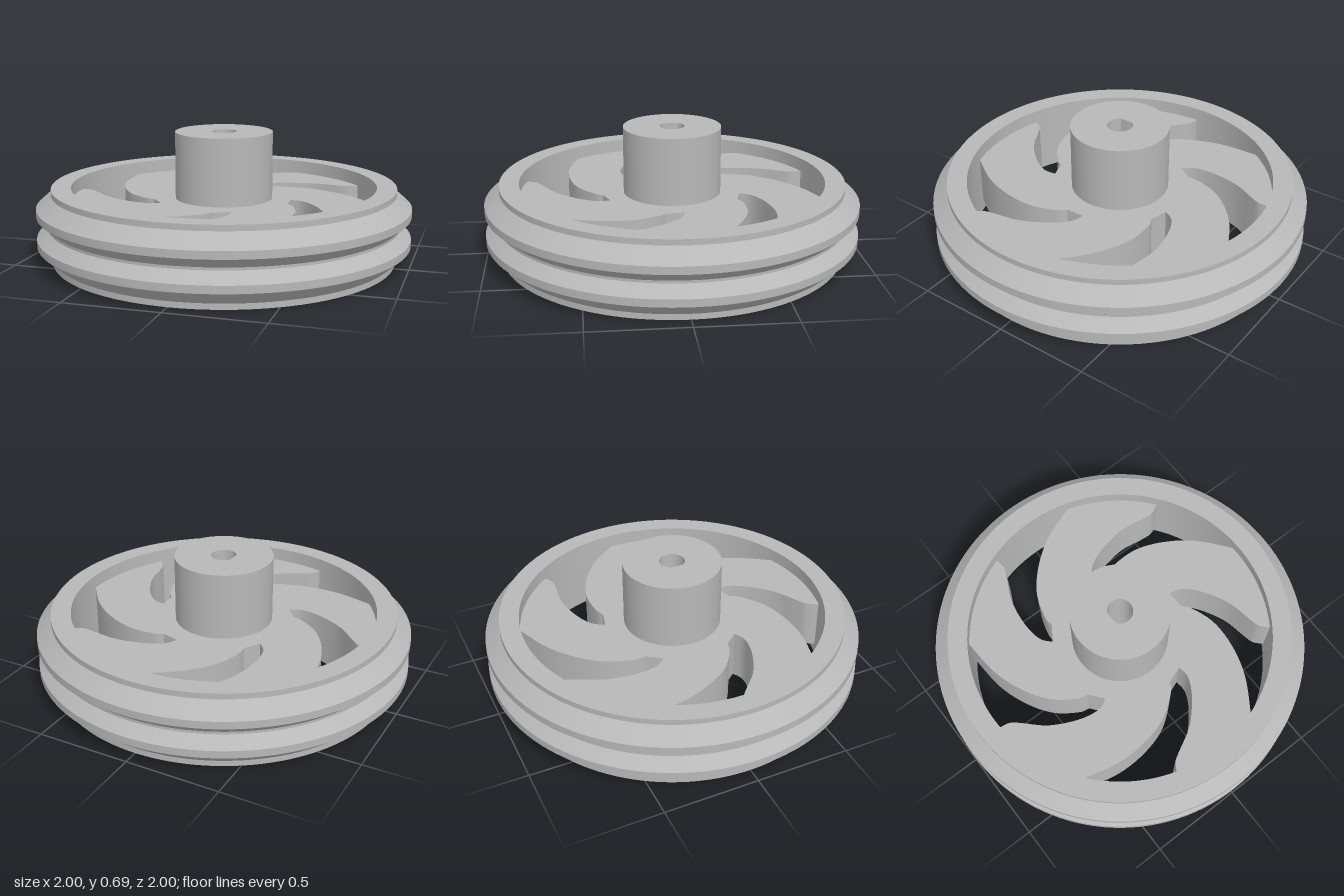
import * as THREE from 'three';
import { toCreasedNormals } from 'three/addons/utils/BufferGeometryUtils.js';

const SPOKES = 5;
const CREASE = 0.4;

// Extrudes a plan-view shape (x, z) downwards from the height `top`
function plate(shape, bottom, top) {
  const geo = new THREE.ExtrudeGeometry(shape, { depth: top - bottom, bevelEnabled: false, curveSegments: 48 });
  geo.rotateX(Math.PI / 2).translate(0, top, 0);
  return toCreasedNormals(geo, CREASE);
}

const spline = (pts, n) =>
  new THREE.SplineCurve(pts.map(([x, z]) => new THREE.Vector2(x, z))).getPoints(n);

// Disc with curved openings that leave swept spokes between them
function webShape() {
  const leading = spline([[0.69, 0.475], [0.634, 0.42], [0.616, 0.36], [0.587, 0.215],
    [0.513, 0.075], [0.434, -0.008], [0.364, -0.027]], 24);
  const trailing = spline([[0.369, 0.07], [0.407, 0.118], [0.45, 0.257], [0.44, 0.423],
    [0.385, 0.594], [0.274, 0.772]], 24);
  const from = THREE.MathUtils.degToRad(70.4);
  const to = THREE.MathUtils.degToRad(72 + 34.5);
  const rimArc = [];
  for (let i = 0; i <= 12; i++) {
    const a = from + (to - from) * i / 12;
    rimArc.push(new THREE.Vector2(Math.cos(a), Math.sin(a)).multiplyScalar(0.85));
  }
  const sector = [...leading, ...trailing, ...rimArc];
  const origin = new THREE.Vector2();
  const outline = [];
  for (let k = 0; k < SPOKES; k++) {
    const turn = k * 2 * Math.PI / SPOKES;
    outline.push(...sector.map(p => p.clone().rotateAround(origin, turn)));
  }
  const shape = new THREE.Shape(outline);
  shape.holes.push(new THREE.Path().absarc(0, 0, 0.2, 0, Math.PI * 2, true));
  return shape;
}

// Round boss with a bore that has one flat side
function hubShape() {
  const shape = new THREE.Shape().absarc(0, 0, 0.26, 0, Math.PI * 2, false);
  const half = Math.acos(-0.057 / 0.067);
  const bore = new THREE.Path().absarc(0, 0, 0.067, -half, half, false);
  bore.closePath();
  shape.holes.push(bore);
  return shape;
}

export function createModel() {
  const group = new THREE.Group();
  group.name = 'spokedWheel';
  const grey = new THREE.MeshStandardMaterial({ color: 0xb8b8b8 });
  grey.name = 'grey';

  const add = (name, geo) => {
    const mesh = new THREE.Mesh(geo, grey);
    mesh.name = name;
    group.add(mesh);
  };

  // Rim with two ridges and a V groove between them
  const profile = [[0.815, 0], [0.92, 0], [0.92, 0.03], [1, 0.1], [1, 0.14], [0.94, 0.193],
    [0.94, 0.207], [1, 0.26], [1, 0.3], [0.92, 0.37], [0.92, 0.4], [0.815, 0.4], [0.815, 0]]
    .map(([r, y]) => new THREE.Vector2(r, y));
  add('rim', toCreasedNormals(new THREE.LatheGeometry(profile, 128), CREASE));

  add('spokes', plate(webShape(), 0.058, 0.327));
  add('hub', plate(hubShape(), 0.03, 0.685));
  return group;
}
